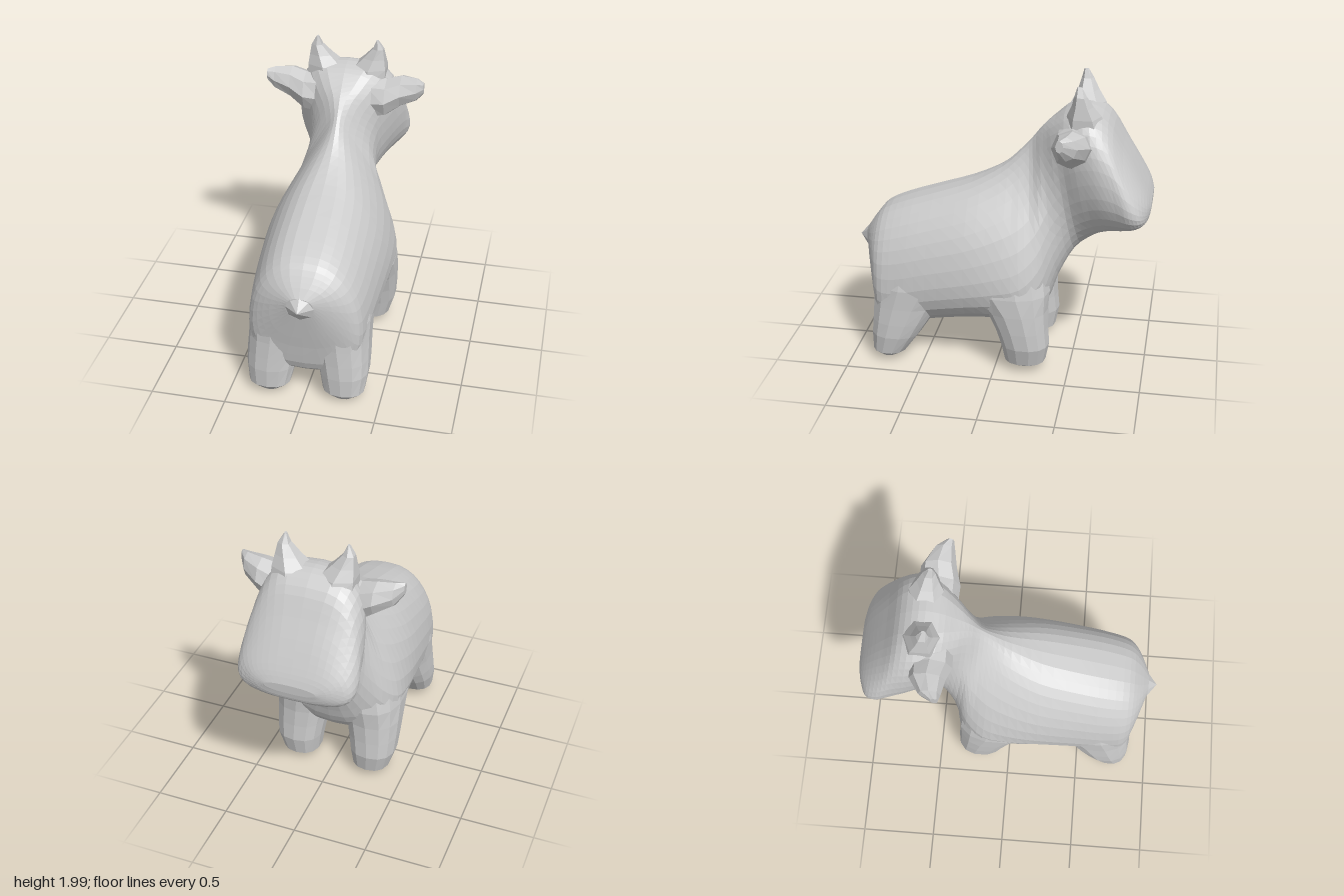
import * as THREE from 'three';

const material = new THREE.MeshStandardMaterial({ color: 0xcccccc, flatShading: true });

// Skin a list of rings (arrays of Vector3) and cap both ends.
function loft(name, rings) {
  const n = rings[0].length, pos = [], idx = [];
  rings.forEach(r => r.forEach(p => pos.push(p.x, p.y, p.z)));
  for (let i = 0; i < rings.length - 1; i++) {
    for (let j = 0; j < n; j++) {
      const a = i * n + j, b = i * n + (j + 1) % n;
      idx.push(a, a + n, b, b, a + n, b + n);
    }
  }
  [0, rings.length - 1].forEach((r, end) => {
    const c = rings[r].reduce((s, p) => s.add(p), new THREE.Vector3()).divideScalar(n);
    const ci = pos.length / 3;
    pos.push(c.x, c.y, c.z);
    for (let j = 0; j < n; j++) {
      const a = r * n + j, b = r * n + (j + 1) % n;
      if (end) idx.push(ci, b, a); else idx.push(ci, a, b);
    }
  });
  const g = new THREE.BufferGeometry();
  g.setAttribute('position', new THREE.Float32BufferAttribute(pos, 3));
  g.setIndex(idx);
  g.computeVertexNormals();
  const mesh = new THREE.Mesh(g, material);
  mesh.name = name;
  return mesh;
}

const spow = (v, e) => Math.sign(v) * Math.pow(Math.abs(v), e);

// Reflect rings across x = 0, keeping the faces outward.
const mirror = rings => rings.map(r => r.map(p => new THREE.Vector3(-p.x, p.y, p.z)).reverse());

// Horizontal rings stacked upward: [y, centre x, centre z, radius x, radius z]
const column = (sections, sides) => sections.map(([y, cx, cz, rx, rz]) =>
  Array.from({ length: sides }, (_, j) => {
    const a = (j + 0.5) / sides * Math.PI * 2;
    return new THREE.Vector3(cx + rx * spow(Math.cos(a), 0.85), y, cz + rz * spow(Math.sin(a), 0.85));
  }));

// Upright rings running outward in x: [x, centre y, centre z, radius y, radius z]
const sideways = (sections, sides) => sections.map(([x, cy, cz, ry, rz]) =>
  Array.from({ length: sides }, (_, j) => {
    const a = j / sides * Math.PI * 2;
    return new THREE.Vector3(x, cy + ry * Math.cos(a), cz - rz * Math.sin(a));
  }));

// Rump, trunk, neck and head as one skin.
// [top z, top y, bottom z, bottom y, half width, heaviness below, roundness above, roundness below]
function bodyRings() {
  const s = [
    [0.94, 0.86, 0.92, 0.70, 0.09, 0, 0.8, 0.8],
    [0.88, 0.95, 0.86, 0.43, 0.26, 0.1, 0.75, 0.7],
    [0.80, 1.04, 0.81, 0.23, 0.36, 0.15, 0.75, 0.75],
    [0.65, 1.11, 0.69, 0.18, 0.39, 0.15, 0.75, 0.9],
    [0.45, 1.18, 0.48, 0.23, 0.41, 0.2, 0.75, 1],
    [0.20, 1.27, 0.20, 0.28, 0.43, 0.28, 0.8, 1],
    [0.00, 1.38, 0.00, 0.30, 0.44, 0.45, 0.95, 1],
    [-0.12, 1.49, -0.20, 0.32, 0.43, 0.62, 1.05, 0.9],
    [-0.20, 1.58, -0.33, 0.44, 0.36, 0.65, 1, 0.9],
    [-0.27, 1.67, -0.40, 0.63, 0.25, 0.3, 0.85, 0.85],
    [-0.35, 1.74, -0.50, 0.82, 0.24, -0.1, 0.7, 0.8],
    [-0.45, 1.81, -0.62, 0.93, 0.31, -0.1, 0.6, 0.75],
    [-0.58, 1.83, -0.72, 0.99, 0.36, 0, 0.55, 0.7],
    [-0.70, 1.76, -0.82, 1.02, 0.38, 0.12, 0.55, 0.65],
    [-0.80, 1.60, -0.90, 1.05, 0.39, 0.2, 0.6, 0.65],
    [-0.90, 1.43, -0.96, 1.09, 0.36, 0.2, 0.6, 0.65],
    [-0.97, 1.30, -0.99, 1.12, 0.27, 0, 0.65, 0.65],
    [-1.00, 1.23, -1.00, 1.17, 0.17, 0, 0.8, 0.8],
  ];
  const curve = f => new THREE.CatmullRomCurve3(s.map(f), false, 'catmullrom', 0.5);
  const top = curve(r => new THREE.Vector3(0, r[1], r[0]));
  const bottom = curve(r => new THREE.Vector3(0, r[3], r[2]));
  const width = curve(r => new THREE.Vector3(r[4], r[5], 0));
  const round = curve(r => new THREE.Vector3(r[6], r[7], 0));
  const steps = 51, sides = 32, rings = [];
  for (let i = 0; i <= steps; i++) {
    const t = i / steps, p = top.getPoint(t), q = bottom.getPoint(t);
    const w = width.getPoint(t), e = round.getPoint(t);
    rings.push(Array.from({ length: sides }, (_, j) => {
      const a = j / sides * Math.PI * 2, c = Math.cos(a);
      const v = p.clone().lerp(q, 0.5 - 0.5 * spow(c, 0.9));
      v.x = -w.x * spow(Math.sin(a), c > 0 ? e.x : e.y) * (1 - w.y * c) / (1 + 0.4 * w.y * w.y);
      return v;
    }));
  }
  return rings;
}

export function createModel() {
  const model = new THREE.Group();
  model.name = 'calf';
  model.add(loft('bodyAndHead', bodyRings()));

  // Paired parts, made on the left and mirrored; the legs flare into the flanks
  const pairs = {
    FrontLeg: column([
      [0.02, 0.25, -0.20, 0.06, 0.07],
      [0.07, 0.26, -0.20, 0.13, 0.14],
      [0.20, 0.27, -0.20, 0.16, 0.165],
      [0.32, 0.265, -0.175, 0.175, 0.18],
      [0.45, 0.255, -0.14, 0.19, 0.21],
      [0.58, 0.24, -0.08, 0.205, 0.28],
      [0.72, 0.21, -0.06, 0.215, 0.28],
      [0.88, 0.16, -0.08, 0.19, 0.20],
    ], 14),
    HindLeg: column([
      [0.01, 0.25, 0.76, 0.06, 0.05],
      [0.07, 0.25, 0.745, 0.14, 0.12],
      [0.20, 0.245, 0.70, 0.165, 0.17],
      [0.30, 0.235, 0.665, 0.175, 0.20],
      [0.42, 0.22, 0.625, 0.185, 0.235],
      [0.56, 0.21, 0.57, 0.195, 0.29],
      [0.74, 0.18, 0.55, 0.19, 0.26],
    ], 14),
    Ear: sideways([
      [0.16, 1.60, -0.48, 0.15, 0.12],
      [0.28, 1.61, -0.49, 0.135, 0.135],
      [0.38, 1.66, -0.50, 0.11, 0.115],
      [0.49, 1.69, -0.475, 0.08, 0.07],
      [0.54, 1.72, -0.44, 0.04, 0.025],
    ], 8),
    Horn: column([
      [1.70, 0.14, -0.56, 0.14, 0.14],
      [1.80, 0.155, -0.55, 0.125, 0.11],
      [1.87, 0.185, -0.54, 0.08, 0.07],
      [1.94, 0.21, -0.53, 0.04, 0.04],
      [2.00, 0.205, -0.52, 0.008, 0.015],
    ], 6),
  };
  for (const [name, rings] of Object.entries(pairs)) {
    model.add(loft('left' + name, rings));
    model.add(loft('right' + name, mirror(rings)));
  }

  // Broad, pointed stub of a tail
  const tail = new THREE.Mesh(new THREE.ConeGeometry(0.24, 0.18, 8), material);
  tail.name = 'tail';
  tail.rotation.x = Math.PI / 2;
  tail.scale.z = 0.9;
  tail.position.set(0, 0.79, 0.91);
  model.add(tail);
  return model;
}
